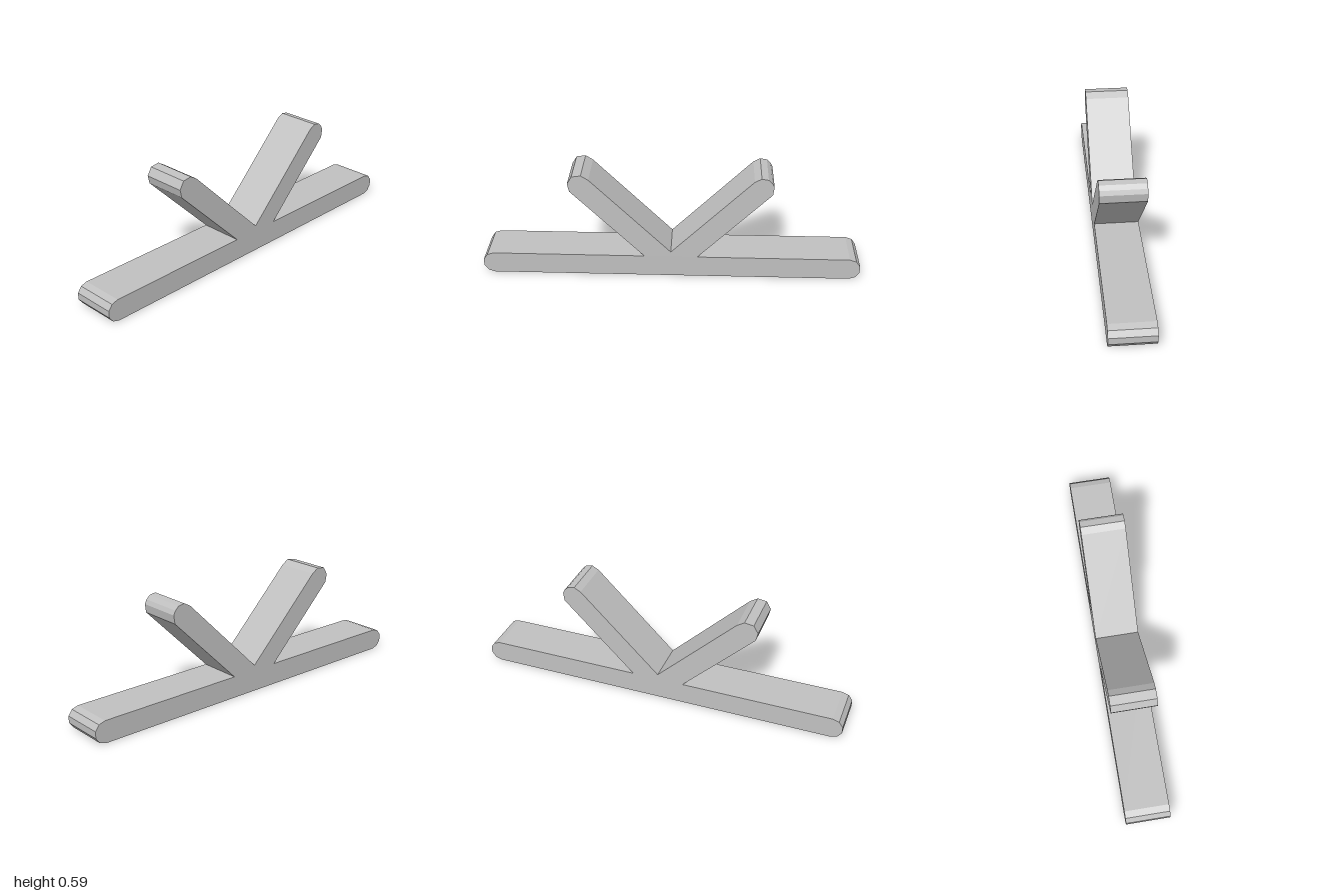
import * as THREE from 'three';

const DEPTH = 0.234;
const BAR_R = 0.0585;

// Faceted round end of the bar, from bottom to top on the right side
function barEnd(steps = 5) {
  const pts = [];
  for (let i = 0; i <= steps; i++) {
    const a = -Math.PI / 2 + (Math.PI * i) / steps;
    const flat = Math.cos(Math.PI / 10); // lets the end facet reach x = 1
    pts.push([1 - BAR_R * flat + BAR_R * Math.cos(a), BAR_R + BAR_R * Math.sin(a)]);
  }
  return pts;
}

export function createModel() {
  const model = new THREE.Group();
  const grey = new THREE.MeshStandardMaterial({ color: 0xc0c0c0 });
  grey.name = 'grey';

  // Arm tips, from the lower edge round to the upper edge
  const rightTip = [[0.52, 0.497], [0.526, 0.542], [0.515, 0.564], [0.495, 0.583], [0.46, 0.589], [0.425, 0.57]];
  const leftTip = [[-0.42, 0.565], [-0.458, 0.589], [-0.506, 0.582], [-0.53, 0.541], [-0.52, 0.497]];

  // One closed outline: base bar with two arms rising from its middle
  const end = barEnd();
  const outline = [
    ...end,
    [0.14, 0.117],
    ...rightTip,
    [0, 0.145],
    ...leftTip,
    [-0.14, 0.117],
    ...end.slice().reverse().map(([x, y]) => [-x, y]),
  ];
  const shape = new THREE.Shape(outline.map(([x, y]) => new THREE.Vector2(x, y)));
  const geometry = new THREE.ExtrudeGeometry(shape, { depth: DEPTH, bevelEnabled: false });
  geometry.translate(0, 0, -DEPTH / 2);

  const body = new THREE.Mesh(geometry, grey);
  body.name = 'barWithTwoArms';
  model.add(body);
  return model;
}
